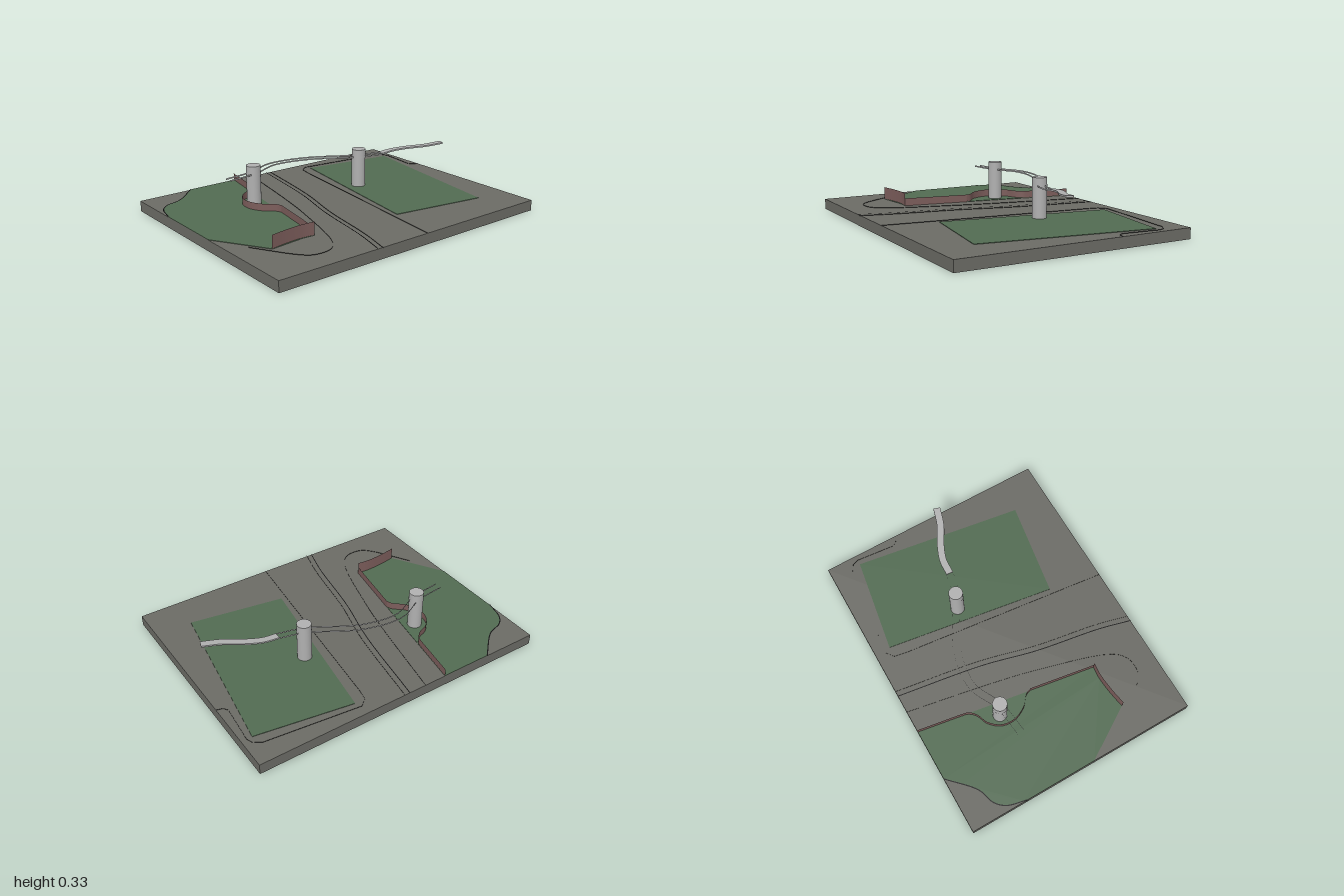
import * as THREE from 'three';

const mat = (name, color, side = THREE.FrontSide) => {
  const m = new THREE.MeshStandardMaterial({ color, side });
  m.name = name;
  return m;
};
const paving = mat('paving grey', 0x6b6b65);
const grass = mat('grass green', 0x526b52);
const brick = mat('brick red', 0x7c5d5b, THREE.DoubleSide);
const concrete = mat('concrete grey', 0xb0b0b0);
const deckGrey = mat('deck grey', 0xb0b0b0, THREE.DoubleSide);
const kerbDark = mat('kerb black', 0x161616, THREE.DoubleSide);
const GROUND = 0.07;

// Smooth path through [x, z] or [x, z, y] points
const smooth = (pts, n = 40, y = 0) =>
  new THREE.CatmullRomCurve3(pts.map(p => new THREE.Vector3(p[0], p[2] ?? y, p[1]))).getPoints(n);
const straight = pts => pts.map(p => new THREE.Vector3(p[0], 0, p[1]));

// Skin between two rails of equal length
function skin(a, b) {
  const pos = [], idx = [];
  a.forEach((p, i) => {
    pos.push(...p.toArray(), ...b[i].toArray());
    if (i) { const k = 2 * i; idx.push(k - 2, k - 1, k, k, k - 1, k + 1); }
  });
  const g = new THREE.BufferGeometry();
  g.setAttribute('position', new THREE.Float32BufferAttribute(pos, 3));
  g.setIndex(idx);
  g.computeVertexNormals();
  return g;
}
const lift = (path, dy) => path.map(p => p.clone().add(new THREE.Vector3(0, dy, 0)));

// Path shifted sideways in plan
function offset(path, d) {
  return path.map((p, i) => {
    const t = path[Math.min(i + 1, path.length - 1)].clone().sub(path[Math.max(i - 1, 0)]).setY(0).normalize();
    return p.clone().add(new THREE.Vector3(-t.z * d, 0, t.x * d));
  });
}

export function createModel() {
  const model = new THREE.Group();
  const add = (name, geo, material) => {
    const m = new THREE.Mesh(geo, material);
    m.name = name;
    model.add(m);
    return m;
  };
  const wall = (name, path, y0, y1, material) => add(name, skin(lift(path, y0), lift(path, y1)), material);

  // Ground slab
  add('groundSlab', new THREE.BoxGeometry(2, GROUND, 1.57), paving).position.y = GROUND / 2;

  // Lawns as thin plates
  const lawn = (name, pts) => {
    const shape = new THREE.Shape(pts.map(([x, z]) => new THREE.Vector2(x, -z)));
    const g = new THREE.ExtrudeGeometry(shape, { depth: 0.003, bevelEnabled: false });
    g.rotateX(-Math.PI / 2);
    add(name, g, grass).position.y = GROUND;
  };
  const corner = [[-1, -0.4], [-0.965, -0.53], [-0.91, -0.59], [-0.8, -0.63], [-0.63, -0.785]];
  lawn('rightLawn', [[-0.29, -0.785], [-0.48, 0.4], [-0.56, 0.395], [-0.79, 0.42], [-1, 0.08],
    ...smooth(corner, 24).map(p => [p.x, p.z])]);
  lawn('leftLawn', [[0.3, -0.68], [0.93, -0.58], [0.76, 0.54], [0.13, 0.44]]);

  // Brick walls: a tall front piece and a lower one bending round the pole
  wall('frontWall', smooth([[-0.79, 0.42], [-0.68, 0.402], [-0.56, 0.393], [-0.48, 0.4]], 16), GROUND, 0.155, brick);
  const bend = smooth([[-0.41, -0.03], [-0.425, -0.07], [-0.49, -0.13], [-0.53, -0.22], [-0.52, -0.31],
    [-0.46, -0.38], [-0.39, -0.41], [-0.35, -0.45], [-0.337, -0.5]]);
  wall('sideWall', [...straight([[-0.48, 0.4]]), ...bend, ...straight([[-0.29, -0.785]])], GROUND, 0.12, brick);

  // Painted road line and planted-corner edge, flat on the ground
  const line = (name, path, w) => {
    const p = lift(path, GROUND + 0.004);
    add(name, skin(offset(p, -w / 2), offset(p, w / 2)), kerbDark);
  };
  const road = smooth([[-0.33, 0.785], [-0.275, 0.57], [-0.2, 0.14], [-0.11, -0.22], [-0.02, -0.785]]);
  line('roadLine', road, 0.006);
  line('cornerEdge', smooth(corner), 0.007);

  // Low kerbs
  const kerbs = {
    roadKerb: offset(road, 0.035),
    leftKerb: straight([[0.055, 0.785], [0.215, -0.6], [0.23, -0.68], [0.28, -0.72], [0.9, -0.65], [0.95, -0.62],
      [0.965, -0.58], [0.94, -0.32], [0.96, -0.29], [1, -0.28]]),
    rightKerb: smooth([[-0.88, 0.32], [-0.72, 0.58], [-0.66, 0.63], [-0.55, 0.63], [-0.47, 0.56],
      [-0.315, 0.08], [-0.25, -0.2], [-0.14, -0.785]]),
  };
  for (const [name, path] of Object.entries(kerbs)) wall(name, path, GROUND, GROUND + 0.003, kerbDark);

  // Bridge poles with a collar at deck level
  for (const [x, z] of [[-0.45, -0.28], [0.32, -0.16]]) {
    add('pole', new THREE.CylinderGeometry(0.046, 0.046, 0.26, 32), concrete).position.set(x, 0.2, z);
    add('poleCollar', new THREE.CylinderGeometry(0.048, 0.048, 0.01, 32, 1, true), deckGrey).position.set(x, 0.278, z);
  }

  // Bridge edge strips
  const span = smooth([[-0.655, -0.25], [-0.45, -0.28], [-0.25, -0.365], [0, -0.33], [0.32, -0.16], [0.48, -0.118]], 60);
  for (const s of [-1, 1]) wall('bridgeEdge', offset(span, s * 0.023), 0.273, 0.283, deckGrey);

  // Rising ramp with top, underside and edges
  const ramp = smooth([[0.48, -0.118, 0.273], [0.58, -0.112, 0.281], [0.68, -0.075, 0.289],
    [0.8, -0.01, 0.298], [0.92, 0.028, 0.308]], 30);
  const l = offset(ramp, -0.023), r = offset(ramp, 0.023);
  add('rampTop', skin(lift(l, 0.01), lift(r, 0.01)), deckGrey);
  add('rampUnderside', skin(r, l), deckGrey);
  for (const rail of [l, r]) wall('rampEdge', rail, 0, 0.01, deckGrey);
  for (const i of [0, 30]) wall('rampEnd', [l[i], r[i]], 0, 0.01, deckGrey);

  return model;
}
